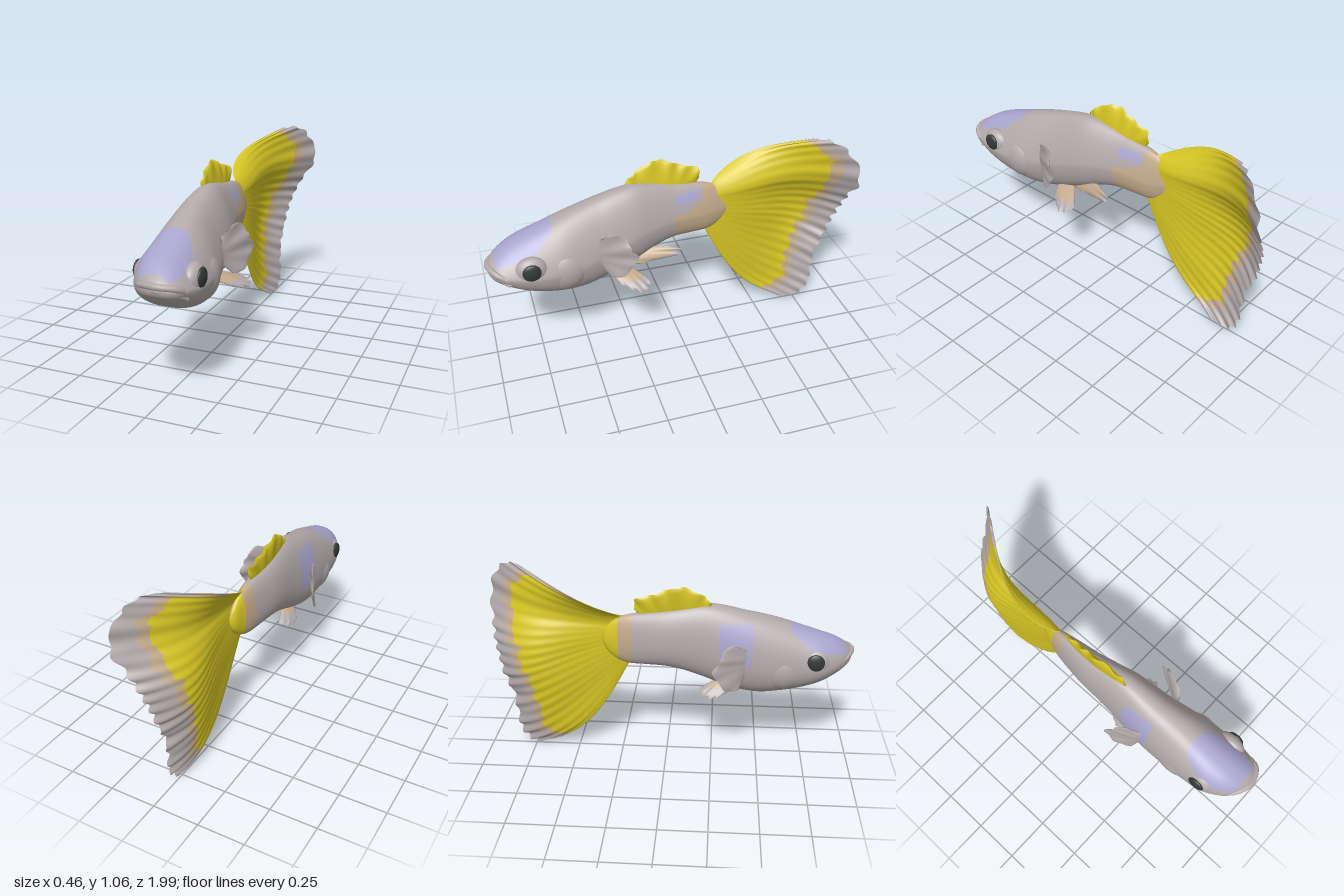
import * as THREE from 'three';

const V = (x, y, z) => new THREE.Vector3(x, y, z);
const SKIN = 0, YELLOW = 1, TAN = 2, LILAC = 3, EYE = 4;

function makeMaterials() {
  const make = (name, color) => {
    const m = new THREE.MeshStandardMaterial({ color, side: THREE.DoubleSide });
    m.name = name;
    return m;
  };
  return [make('greySkin', 0xb3aaaa), make('yellowFin', 0xd6c524), make('tanPatch', 0xc2aa8c),
    make('lilacPatch', 0xaaa5cd), make('darkEye', 0x343a38)];
}

// Closed-loop grid surface; u runs around, v runs along, pick() chooses each cell's colour
function surface(name, mats, nu, nv, point, pick) {
  const pos = [], lists = mats.map(() => []);
  for (let j = 0; j <= nv; j++)
    for (let i = 0; i < nu; i++) pos.push(...point(i / nu, j / nv).toArray());
  for (let j = 0; j < nv; j++) {
    for (let i = 0; i < nu; i++) {
      const a = j * nu + i, b = j * nu + (i + 1) % nu, c = a + nu, d = b + nu;
      const u = (i + 0.5) / nu, v = (j + 0.5) / nv;
      lists[pick(point(u, v), u, v)].push(a, c, b, b, c, d);
    }
  }
  const geo = new THREE.BufferGeometry();
  geo.setAttribute('position', new THREE.Float32BufferAttribute(pos, 3));
  geo.setIndex(lists.flat());
  let start = 0;
  lists.forEach((l, k) => {
    if (l.length) geo.addGroup(start, l.length, k);
    start += l.length;
  });
  geo.computeVertexNormals();
  const mesh = new THREE.Mesh(geo, mats);
  mesh.name = name;
  return mesh;
}

// Thin fin spread from a root line (A to B) to a curved rim
function fin(name, mats, A, B, rimPts, o) {
  const rim = new THREE.CatmullRomCurve3(rimPts);
  const n = rim.getPoint(0.5).sub(A.clone().lerp(B, 0.5)).cross(B.clone().sub(A)).normalize();
  const { thick = 0.012, rays = 6, wave = 0.003, scallop = 0.03, bow = () => V(0, 0, 0) } = o;
  const point = (u, r) => {
    const a = 1 - Math.abs(1 - 2 * u);
    const ray = Math.sin(a * rays * Math.PI * 2 + 1.5 * Math.sin(a * 9));
    const reach = r * (1 + scallop * r ** 4 * Math.sin(a * rays * 5 + 2 * Math.sin(a * 14)));
    const p = A.clone().lerp(B, a).lerp(rim.getPoint(a), reach);
    const s = Math.sin(u * Math.PI * 2);
    const side = Math.sign(s) * Math.sqrt(Math.abs(s)) * thick * Math.sqrt(Math.max(0, 1 - r * r));
    return p.add(bow(a, r)).addScaledVector(n, side + wave * r * r * ray);
  };
  return surface(name, mats, o.nu || 64, o.nr || 16, point,
    (p, u, r) => o.pick(1 - Math.abs(1 - 2 * u), r, u < 0.5));
}

// Body stations: z, centre x, half width, top y, bottom y
const STATIONS = [
  [0.99, 0.06, 0, 0.61, 0.605], [0.975, 0.06, 0.06, 0.642, 0.575], [0.94, 0.052, 0.108, 0.672, 0.545],
  [0.88, 0.04, 0.14, 0.708, 0.505], [0.8, 0.03, 0.162, 0.74, 0.465], [0.7, 0.025, 0.167, 0.775, 0.432],
  [0.6, 0.018, 0.167, 0.81, 0.413], [0.5, 0.005, 0.158, 0.84, 0.405], [0.4, -0.008, 0.146, 0.865, 0.42],
  [0.3, -0.015, 0.133, 0.89, 0.45], [0.2, -0.022, 0.12, 0.902, 0.49], [0.1, -0.036, 0.105, 0.89, 0.53],
  [0, -0.048, 0.091, 0.872, 0.555], [-0.1, -0.05, 0.076, 0.856, 0.56], [-0.2, -0.05, 0.058, 0.838, 0.563],
  [-0.27, -0.05, 0.04, 0.81, 0.59], [-0.32, -0.05, 0.026, 0.76, 0.64], [-0.345, -0.05, 0, 0.705, 0.695]];

function makeBody(mats) {
  const upper = new THREE.CatmullRomCurve3(STATIONS.map(s => V(s[1], s[3], s[0])), false, 'catmullrom');
  const lower = new THREE.CatmullRomCurve3(STATIONS.map(s => V(s[2], s[4], s[0])), false, 'catmullrom');
  const point = (u, v) => {
    const t = upper.getPoint(v), b = lower.getPoint(v);
    const c = Math.cos(u * Math.PI * 2), s = Math.sin(u * Math.PI * 2), up = Math.max(0, s);
    const mid = b.y + 0.42 * (t.y - b.y);
    const power = s < 0 ? 0.7 : 0.85;
    const across = Math.sign(c) * Math.abs(c) ** power * (1 - (c > 0 ? 0.25 : 0.12) * up) - 0.12 * up;
    return V(t.x + Math.max(0, b.x) * across, mid + s * (s > 0 ? t.y - mid : mid - b.y), t.z);
  };
  return surface('body', mats, 80, 120, point, (p, u) => {
    const s = Math.sin(u * Math.PI * 2), left = Math.cos(u * Math.PI * 2) > 0;
    // Crown, right flank and left tail stalk patches
    if (p.z > 0.65 && p.z < 0.945 && s > 0.52 + Math.max(0, 0.78 - p.z) * 3) return LILAC;
    if (!left && p.z > 0.28 && p.z < 0.45 && p.y > 0.6 && p.y < 0.82) return LILAC;
    if (left && p.z < -0.02 && p.z > -0.15 && p.y > 0.77 && p.y < 0.82) return LILAC;
    if (left && p.z < 0 && p.y > 0.58 && p.y < 0.72 + Math.max(0, -p.z - 0.08) * 0.45) return TAN;
    // Yellow root of the tail reaching over the stalk
    if (p.z < -0.25 && (!left || s > 0.8)) return YELLOW;
    return p.z < -0.17 ? TAN : SKIN;
  });
}

export function createModel() {
  const g = new THREE.Group();
  g.name = 'fish';
  const mats = makeMaterials();
  g.add(makeBody(mats));

  const ball = (name, mat, p, r) => {
    const m = new THREE.Mesh(new THREE.SphereGeometry(1, 40, 28), mats[mat]);
    m.name = name;
    m.position.copy(p);
    m.scale.copy(r);
    g.add(m);
  };
  const tube = (name, pts, r) => {
    const m = new THREE.Mesh(new THREE.TubeGeometry(new THREE.CatmullRomCurve3(pts), 32, r, 10), mats[SKIN]);
    m.name = name;
    g.add(m);
  };

  // Flat eyes on low sockets, and gill covers, on both sides of the head
  for (const s of [1, -1]) {
    const side = s > 0 ? 'left' : 'right';
    ball(side + 'EyeSocket', SKIN, V(0.03 + s * 0.118, 0.612, 0.775), V(0.05, 0.075, 0.085));
    ball(side + 'Eye', EYE, V(0.03 + s * 0.158, 0.621, 0.778), V(0.018, 0.047, 0.047));
    ball(side + 'GillCover', SKIN, V(0.018 + s * 0.085, 0.56, 0.61), V(0.088, 0.12, 0.13));
  }

  // Lips
  const lip = (dy, dz) => [[-0.07, 0.588, 0.9], [-0.025, 0.615, 0.95], [0.06, 0.626, 0.983],
    [0.14, 0.615, 0.95], [0.165, 0.588, 0.9]].map(([x, y, z]) => V(x, y + dy, z + dz));
  tube('upperLip', lip(0, 0), 0.016);
  tube('lowerLip', lip(-0.036, -0.016), 0.012);

  // Tail fan, bowed sideways and curling out at the rim, with a ragged grey edge
  g.add(fin('tailFin', mats, V(-0.05, 0.83, -0.23), V(-0.03, 0.57, -0.19), [
    V(0.03, 1.055, -0.76), V(0.1, 1.055, -0.85), V(0.16, 0.98, -0.94), V(0.18, 0.84, -0.985),
    V(0.11, 0.72, -0.965), V(0.06, 0.62, -0.95), V(0.03, 0.52, -0.925), V(0.015, 0.42, -0.9),
    V(0.01, 0.32, -0.86), V(0.01, 0.2, -0.845), V(0.015, 0.08, -0.83), V(0.01, 0.01, -0.76), V(0.01, 0.025, -0.66)], {
    thick: 0.014, rays: 20, wave: 0.004, scallop: 0.014, nu: 320, nr: 44,
    bow: (a, r) => {
      const k = Math.sin(Math.PI * r), low = Math.max(0, a - 0.6) / 0.4;
      const depth = 0.105 * (1 - a) + 0.03 * Math.sin(Math.PI * a) + 0.02 * a;
      const curl = Math.sin(Math.PI * r ** Math.min(2.2, 0.8 + a * 2.6));
      return V(-depth * curl, (0.015 * (1 - a) - 0.095 * low) * k, 0.015 * low * k);
    },
    pick: (a, r, rightSide) => {
      const ragged = 0.025 * Math.sin(a * 61) * Math.sin(a * 23 + 1);
      const limit = 0.87 - 0.1 * a + ragged - (rightSide ? 0.04 * (1 - a) : 0);
      if (rightSide && a < 0.06 && r > 0.4) return r < 0.75 ? TAN : SKIN;
      if (r < limit) return YELLOW;
      return r < limit + 0.06 ? TAN : SKIN;
    }
  }));

  // Dorsal fin
  g.add(fin('dorsalFin', mats, V(-0.055, 0.88, 0.23), V(-0.06, 0.835, -0.14), [
    V(-0.058, 0.91, 0.235), V(-0.06, 0.955, 0.19), V(-0.07, 0.985, 0.13), V(-0.08, 1, 0.07),
    V(-0.08, 0.985, 0), V(-0.075, 0.955, -0.08), V(-0.065, 0.925, -0.16), V(-0.06, 0.87, -0.165)], {
    thick: 0.02, rays: 5, wave: 0.008, scallop: 0.03, nu: 96, pick: () => YELLOW
  }));

  // Pectoral fins
  const pectoral = (name, s, cx) => g.add(fin(name, mats,
    V(cx + s * 0.125, 0.7, 0.43), V(cx + s * 0.128, 0.56, 0.42), [
      [0.15, 0.735, 0.415], [0.175, 0.766, 0.34], [0.195, 0.735, 0.29], [0.21, 0.69, 0.285], [0.22, 0.64, 0.25],
      [0.215, 0.58, 0.28], [0.2, 0.515, 0.33], [0.168, 0.512, 0.385]].map(([x, y, z]) =>
      V(cx + s * x, y - (s < 0 ? 0.035 : 0), z)), {
      thick: 0.013, rays: 4, wave: 0.003, scallop: 0.04, nu: 80, pick: () => SKIN
    }));
  pectoral('leftPectoralFin', 1, 0.008);
  pectoral('rightPectoralFin', -1, -0.008);

  // Pelvic fins
  const tipped = limit => (a, r) => r < limit ? TAN : SKIN;
  g.add(fin('leftPelvicFin', mats, V(0.07, 0.46, 0.37), V(0.05, 0.47, 0.26), [
    V(0.14, 0.425, 0.33), V(0.19, 0.405, 0.27), V(0.21, 0.4, 0.2), V(0.15, 0.43, 0.17)],
  { thick: 0.017, rays: 3, scallop: 0.07, pick: tipped(0.6) }));
  g.add(fin('rightPelvicFin', mats, V(-0.05, 0.45, 0.37), V(-0.03, 0.46, 0.26), [
    V(-0.09, 0.415, 0.33), V(-0.12, 0.39, 0.27), V(-0.11, 0.39, 0.2), V(-0.06, 0.42, 0.18)],
  { thick: 0.017, rays: 3, scallop: 0.07, pick: tipped(0.45) }));

  // Long narrow anal fin
  g.add(fin('analFin', mats, V(0.03, 0.46, 0.31), V(0.01, 0.55, 0.15), [
    V(0.06, 0.47, 0.2), V(0.08, 0.495, 0.08), V(0.095, 0.515, -0.01), V(0.09, 0.545, -0.02), V(0.06, 0.555, 0.06)],
  { thick: 0.02, rays: 3, scallop: 0.03, pick: tipped(0.84) }));
  return g;
}
